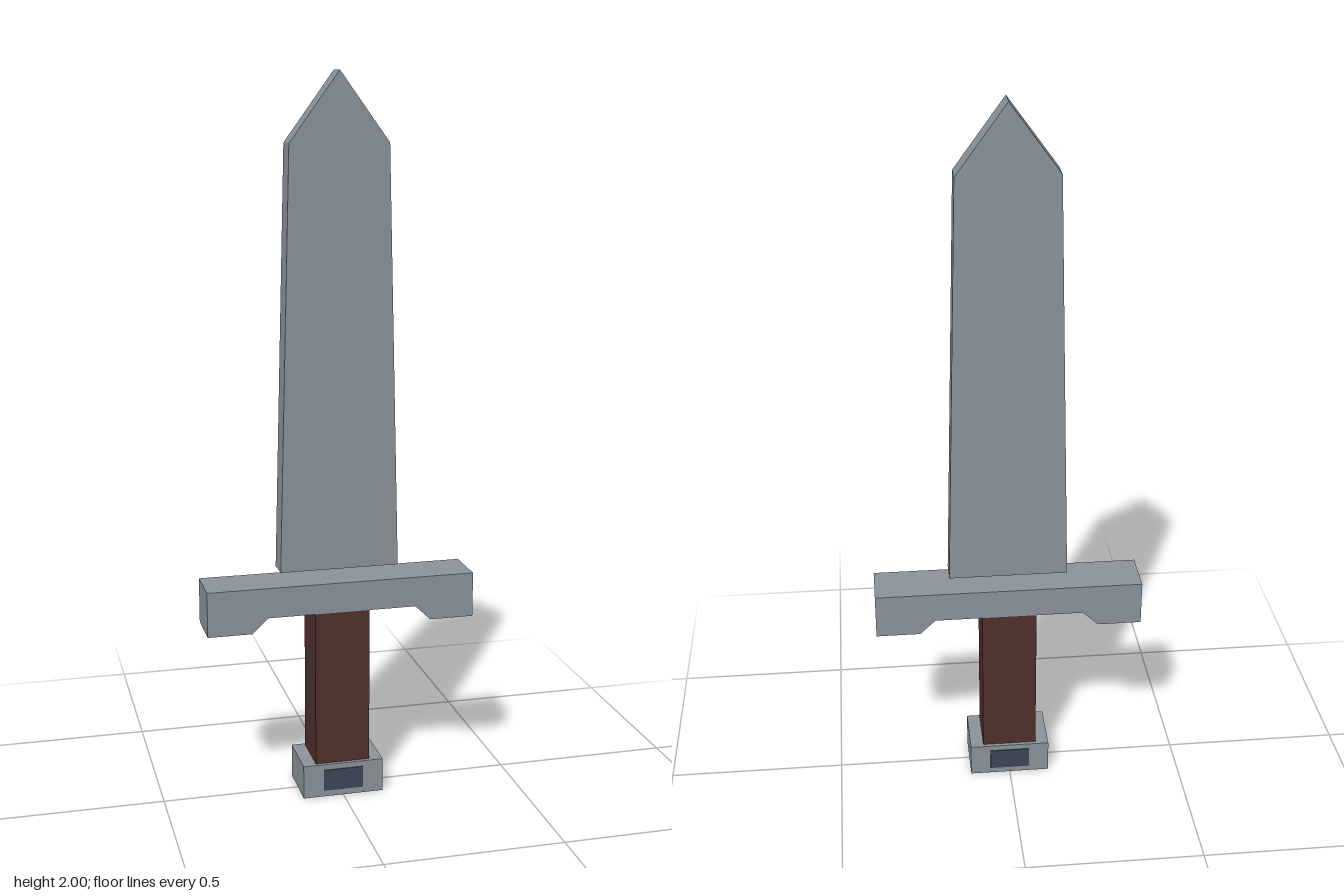
import * as THREE from 'three';

const material = (name, color) => {
  const m = new THREE.MeshStandardMaterial({ color });
  m.name = name;
  return m;
};

export function createModel() {
  const steel = material('steel', 0x8b949a);
  const leather = material('brown leather', 0x50312a);
  const inlay = material('dark blue inlay', 0x3c4656);

  const sword = new THREE.Group();
  sword.name = 'sword';

  const add = (name, geometry, mat, y = 0, z = 0) => {
    const mesh = new THREE.Mesh(geometry, mat);
    mesh.name = name;
    mesh.position.set(0, y, z);
    sword.add(mesh);
  };

  // Extrudes a right-hand outline mirrored across x = 0, centred in z.
  const mirroredSlab = (half, depth) => {
    const right = half.map(([x, y]) => new THREE.Vector2(x, y));
    const left = half.filter(([x]) => x > 0).reverse().map(([x, y]) => new THREE.Vector2(-x, y));
    return new THREE.ExtrudeGeometry(new THREE.Shape([...right, ...left]), { depth, bevelEnabled: false })
      .translate(0, 0, -depth / 2);
  };

  // Tapered blade with a pointed tip, floating just above the guard
  add('blade', mirroredSlab([[0.167, 0.656], [0.136, 1.814], [0, 2]], 0.068), steel);

  // Crossguard with dropped ends
  add('crossguard', mirroredSlab(
    [[0.21, 0.54], [0.254, 0.498], [0.378, 0.498], [0.378, 0.625]], 0.136), steel);

  // Grip between pommel and guard
  add('grip', new THREE.BoxGeometry(0.155, 0.445, 0.135), leather, 0.3175);

  // Pommel with an inlaid plate on both faces
  add('pommel', new THREE.BoxGeometry(0.23, 0.096, 0.156), steel, 0.048);
  for (const side of [1, -1]) {
    add(side > 0 ? 'frontInlay' : 'backInlay',
      new THREE.BoxGeometry(0.114, 0.062, 0.006), inlay, 0.049, side * 0.078);
  }

  return sword;
}
